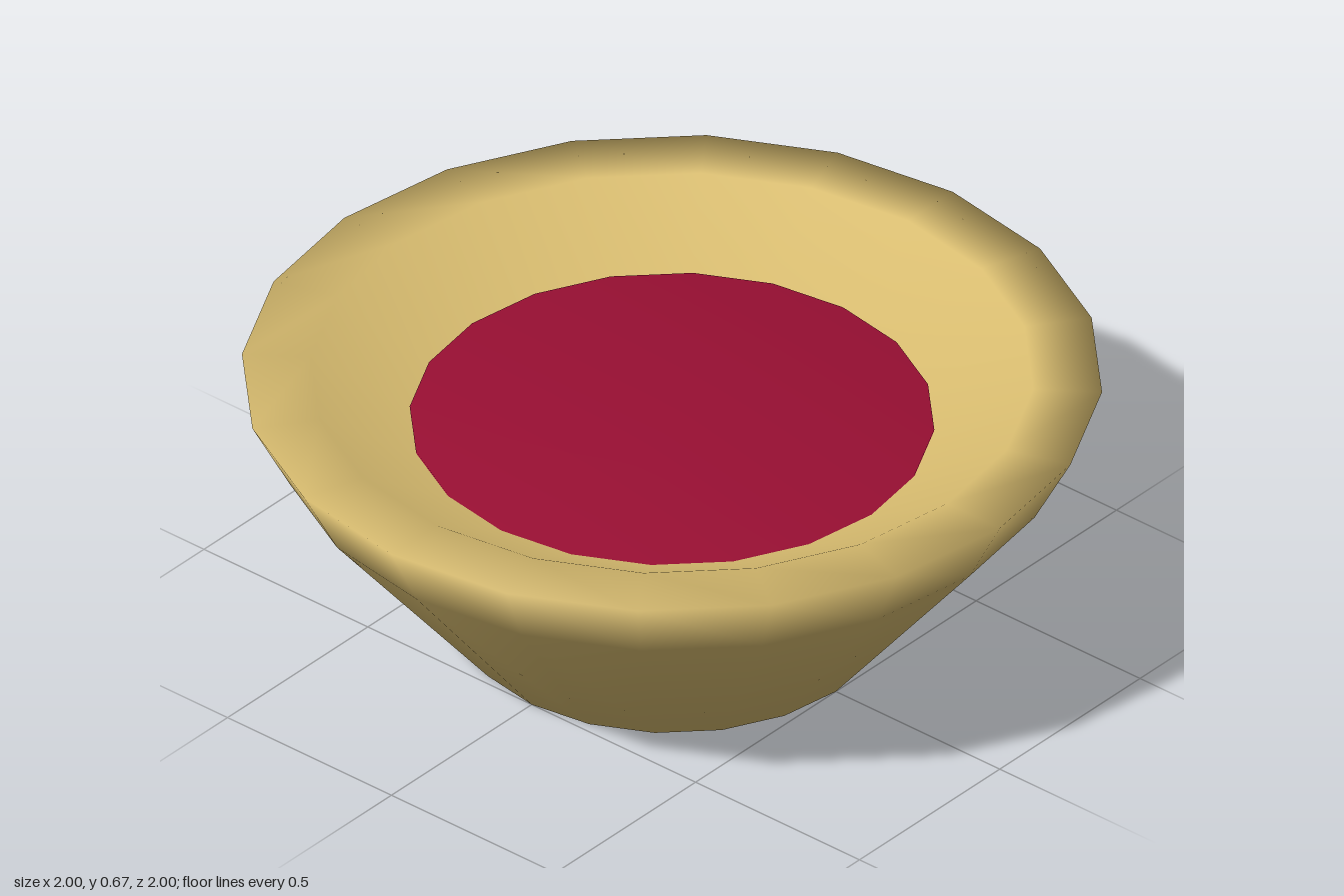
import * as THREE from 'three';

const SIDES = 20;

// Turns a profile of [radius, height] points around the y axis.
function turned(name, profile, color) {
  const points = profile.map(([r, y]) => new THREE.Vector2(r, y));
  const material = new THREE.MeshStandardMaterial();
  material.color.set(color);
  const mesh = new THREE.Mesh(new THREE.LatheGeometry(points, SIDES), material);
  mesh.name = name;
  return mesh;
}

export function createModel() {
  const group = new THREE.Group();
  group.name = 'bowlOfSoup';

  // Bowl: flat foot, flared wall, broad flat rim, sloping inside and floor
  group.add(turned('bowl', [
    [0, 0], [0.5, 0], [0.91, 0.5], [1, 0.67],
    [0.84, 0.67], [0.55, 0.506], [0, 0.48],
  ], 0xd9bd70));

  // Soup: flat filling with a softly shaded edge
  group.add(turned('soup', [
    [0.595, 0.47], [0.61, 0.545], [0, 0.545],
  ], 0x990f33));

  return group;
}
